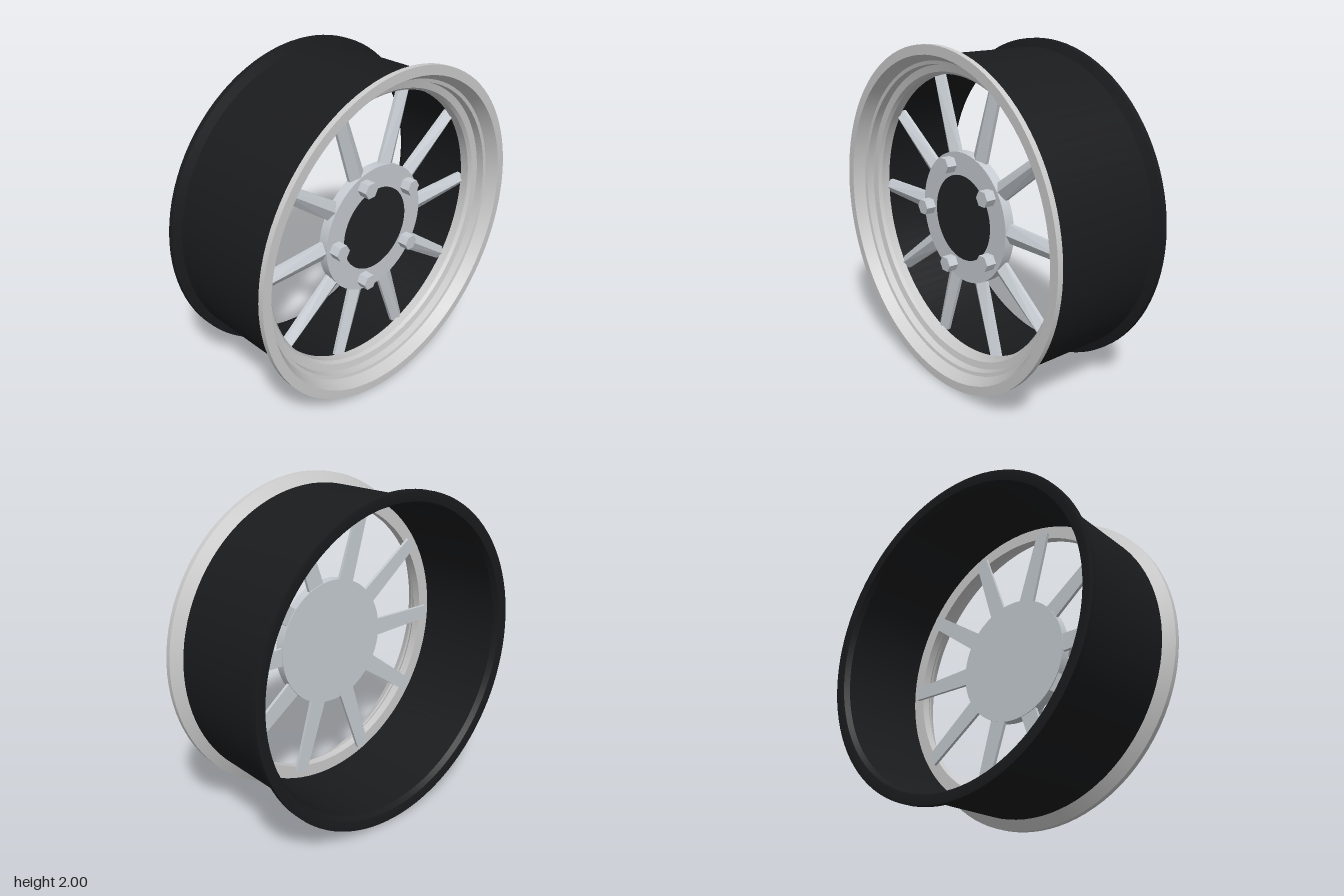
import * as THREE from 'three';
import { toCreasedNormals } from 'three/addons/utils/BufferGeometryUtils.js';
import { ConvexGeometry } from 'three/addons/geometries/ConvexGeometry.js';

const material = (color) => new THREE.MeshStandardMaterial({ color });

function part(parent, name, geometry, mat) {
  const mesh = new THREE.Mesh(geometry, mat);
  mesh.name = name;
  parent.add(mesh);
  return mesh;
}

// Closed ring from [radius, axial] points listed with the outer side going up
function ring(profile) {
  const points = [...profile, profile[0]].map(([r, a]) => new THREE.Vector2(r, a));
  return toCreasedNormals(new THREE.LatheGeometry(points, 96), 0.35);
}

// Tapered spoke along +z with a ridged outer face
function spokeGeometry() {
  const section = (halfWidth, z) => [
    [-halfWidth, 0.16], [halfWidth, 0.16],
    [-halfWidth, 0.18], [halfWidth, 0.18], [0, 0.212],
  ].map(([x, y]) => new THREE.Vector3(x, y, z));
  return new ConvexGeometry([...section(0.056, 0.36), ...section(0.043, 0.845)]);
}

export function createModel() {
  const black = material(0x1a1b1d);
  const grey = material(0xcccccc);
  const alloy = material(0xc6ccd2);

  // Built around the y axis, then laid over so the outer face points to +x
  const wheel = new THREE.Group();
  wheel.name = 'wheel';

  // Open barrel with a flared inner flange
  part(wheel, 'barrel', ring([
    [0.97, -0.403], [0.988, -0.4], [0.988, -0.37], [0.938, -0.35],
    [0.938, 0.335], [0.91, 0.335], [0.91, -0.36], [0.925, -0.395],
  ]), black);

  // Outer lip stepping down to the spoke seat
  part(wheel, 'outerLip', ring([
    [0.91, 0.2], [0.938, 0.33], [1, 0.37], [1, 0.403], [0.945, 0.403],
    [0.91, 0.335], [0.89, 0.33], [0.885, 0.285], [0.845, 0.275],
    [0.83, 0.255], [0.83, 0.2],
  ]), grey);

  // Hub disc with dark centre cap
  const hub = new THREE.CylinderGeometry(0.39, 0.39, 0.06, 64);
  part(wheel, 'hub', hub, alloy).position.y = 0.185;
  const cap = new THREE.CylinderGeometry(0.255, 0.255, 0.01, 64);
  part(wheel, 'centreCap', cap, material(0x222325)).position.y = 0.213;

  // Ten spokes
  const spoke = spokeGeometry();
  for (let i = 0; i < 10; i++) {
    part(wheel, 'spoke', spoke, alloy).rotation.y = (i * Math.PI) / 5;
  }

  // Five hexagonal lug nuts
  const nut = toCreasedNormals(new THREE.CylinderGeometry(0.049, 0.049, 0.065, 6), 0.3);
  for (let i = 0; i < 5; i++) {
    const angle = (i * Math.PI * 2) / 5;
    const mesh = part(wheel, 'lugNut', nut, alloy);
    mesh.position.set(0.32 * Math.sin(angle), 0.245, 0.32 * Math.cos(angle));
  }

  wheel.rotation.z = -Math.PI / 2;
  wheel.position.y = 1;
  const model = new THREE.Group();
  model.add(wheel);
  return model;
}
